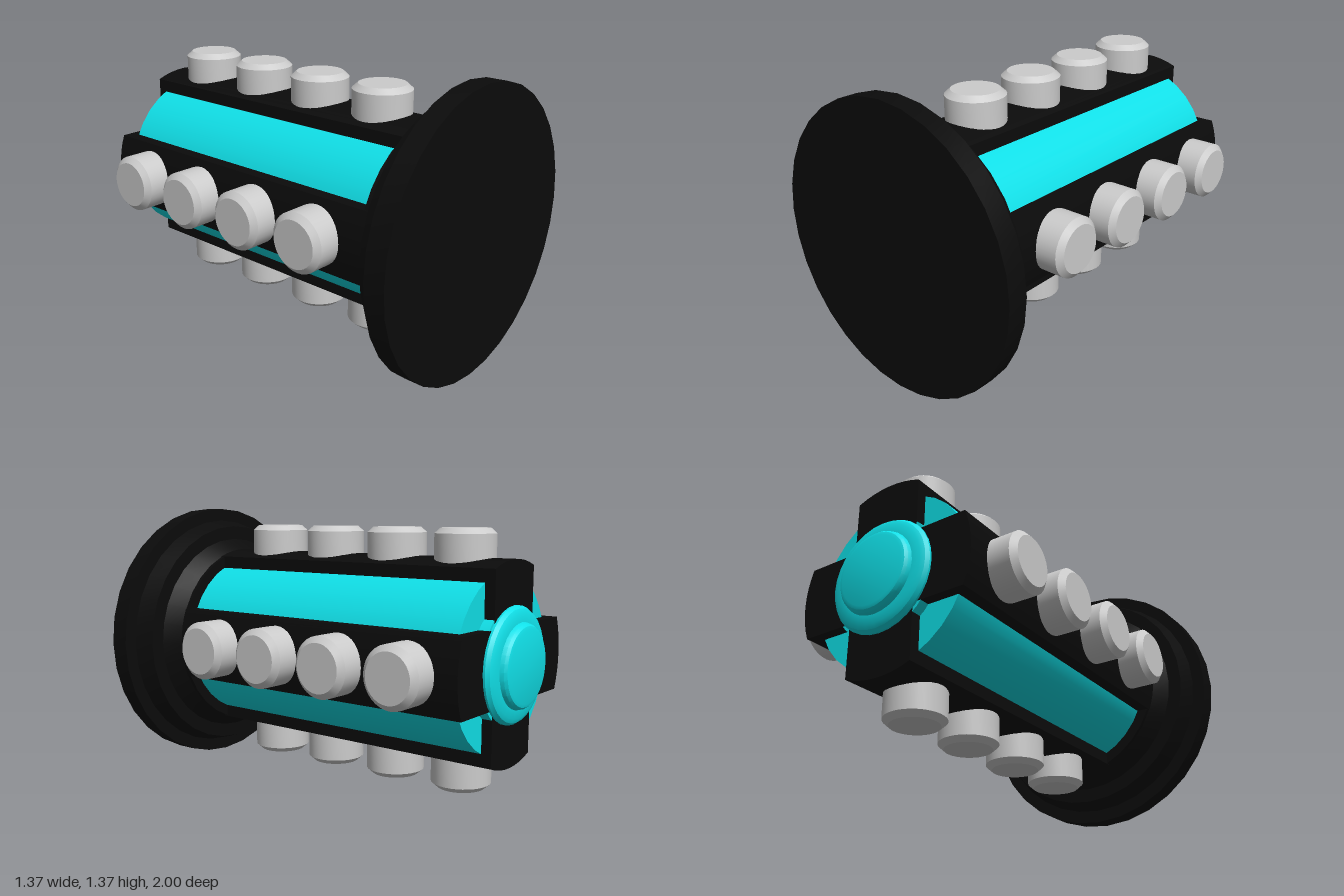
import * as THREE from 'three';
import { toCreasedNormals } from 'three/addons/utils/BufferGeometryUtils.js';

const AXIS_Y = 0.684;
const black = new THREE.MeshStandardMaterial({ color: 0x0b0b0b });
const cyan = new THREE.MeshStandardMaterial({ color: 0x10e0e8 });
const grey = new THREE.MeshStandardMaterial({ color: 0xcccccc });

// Turned solid from [radius, height] pairs, listed from low to high
function turned(profile) {
  const points = profile.map(([r, h]) => new THREE.Vector2(r, h));
  return toCreasedNormals(new THREE.LatheGeometry(points, 32), 0.45);
}

// Turned solid whose height runs along z
function turnedZ(profile) {
  return turned(profile).rotateX(Math.PI / 2);
}

function add(parent, name, geometry, material) {
  const mesh = new THREE.Mesh(geometry, material);
  mesh.name = name;
  parent.add(mesh);
  return mesh;
}

// Cross section with four round-ended arms
function crossShape(radius, half) {
  const shape = new THREE.Shape();
  const spread = Math.asin(half / radius);
  for (let i = 0; i < 4; i++) {
    const mid = (i * Math.PI) / 2;
    for (let k = 0; k <= 8; k++) {
      const a = mid - spread + (2 * spread * k) / 8;
      const x = radius * Math.cos(a), y = radius * Math.sin(a);
      if (i === 0 && k === 0) shape.moveTo(x, y);
      else shape.lineTo(x, y);
    }
    const corner = mid + Math.PI / 4;
    const d = half * Math.SQRT2;
    shape.lineTo(d * Math.cos(corner), d * Math.sin(corner));
  }
  shape.closePath();
  return shape;
}

export function createModel() {
  const model = new THREE.Group();
  model.name = 'studdedCylinder';
  const body = new THREE.Group();
  body.name = 'body';
  body.position.y = AXIS_Y;
  model.add(body);

  // Stepped flange at the front
  add(body, 'flange', turnedZ([
    [0, 0.7], [0.465, 0.7], [0.465, 0.72], [0.52, 0.805], [0.59, 0.805],
    [0.62, 0.9], [0.684, 0.9], [0.684, 1], [0, 1],
  ]), black);

  // Ribbed frame and the coloured core that shows between its arms
  const frame = new THREE.ExtrudeGeometry(crossShape(0.468, 0.175), { depth: 1.645, bevelEnabled: false });
  frame.translate(0, 0, -0.925);
  add(body, 'ribbedFrame', toCreasedNormals(frame, 0.45), black);
  add(body, 'core', turnedZ([[0, -0.875], [0.414, -0.875], [0.414, 0.72], [0, 0.72]]), cyan);

  // Stepped cap and its collar at the back
  add(body, 'capCollar', turnedZ([[0, -0.924], [0.28, -0.924], [0.28, -0.87], [0, -0.87]]), cyan);
  add(body, 'endCap', turnedZ([
    [0, -1], [0.165, -1], [0.18, -0.995], [0.19, -0.983], [0.195, -0.965],
    [0.235, -0.962], [0.255, -0.952], [0.267, -0.935], [0.267, -0.92], [0, -0.92],
  ]), cyan);

  // Four rows of four chamfered studs, one row on each arm
  const stud = turned([[0, 0.4], [0.141, 0.4], [0.141, 0.575], [0.113, 0.6], [0, 0.6]]);
  for (let side = 0; side < 4; side++) {
    const row = new THREE.Group();
    row.name = 'studRow' + (side + 1);
    row.rotation.z = (side * Math.PI) / 2;
    body.add(row);
    for (let i = 0; i < 4; i++) {
      add(row, 'stud', stud, grey).position.z = 0.452 - 0.375 * i;
    }
  }
  return model;
}
